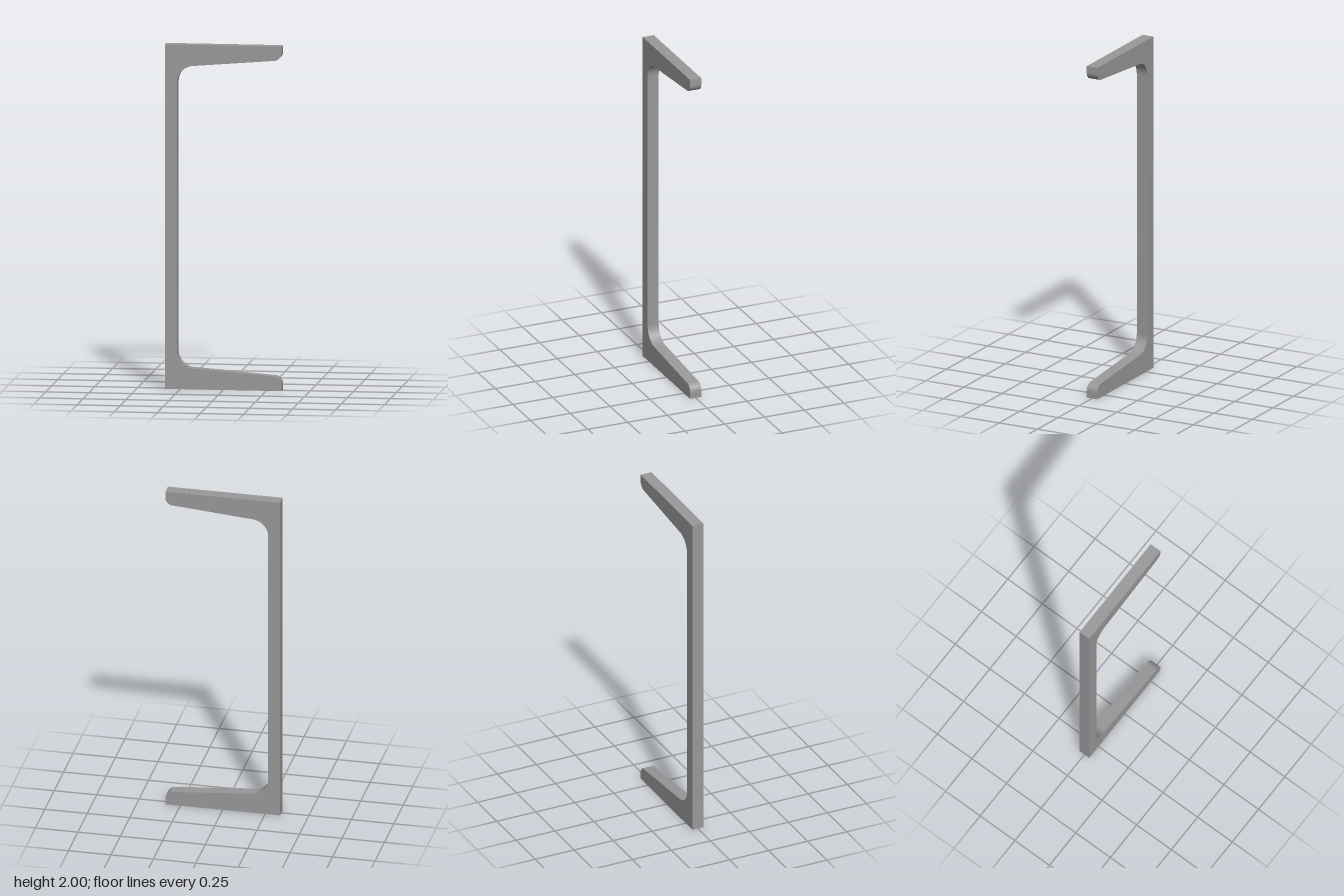
import * as THREE from 'three';
import { toCreasedNormals } from 'three/addons/utils/BufferGeometryUtils.js';

const WIDTH = 0.676, HEIGHT = 2, DEPTH = 0.07, WEB = 0.07;
const ROOT_R = 0.1, TIP_R = 0.045;
const TAPER = Math.atan(0.082); // slope of the inner flange faces

// Channel section: straight web on the left, two tapered flanges
function channelShape() {
  const left = -WIDTH / 2, right = WIDTH / 2, inner = left + WEB;
  const flangeY = (x) => 0.122 - Math.tan(TAPER) * (x + 0.18);
  const sin = Math.sin(TAPER), cos = Math.cos(TAPER);

  // Centres of the root fillet and the rounded flange tip
  const rootX = inner + ROOT_R;
  const rootY = flangeY(rootX - ROOT_R * sin) + ROOT_R * cos;
  const tipX = right - TIP_R;
  const tipY = flangeY(tipX + TIP_R * sin) - TIP_R * cos;
  const up = Math.PI / 2, down = -Math.PI / 2;

  const s = new THREE.Shape();
  s.moveTo(left, 0);
  s.lineTo(right, 0);
  s.absarc(tipX, tipY, TIP_R, 0, up - TAPER, false);
  s.absarc(rootX, rootY, ROOT_R, down - TAPER, -Math.PI, true);
  s.absarc(rootX, HEIGHT - rootY, ROOT_R, Math.PI, up + TAPER, true);
  s.absarc(tipX, HEIGHT - tipY, TIP_R, down + TAPER, 0, false);
  s.lineTo(right, HEIGHT);
  s.lineTo(left, HEIGHT);
  s.closePath();
  return s;
}

export function createModel() {
  const steel = new THREE.MeshStandardMaterial({ color: 0x999999 });
  steel.name = 'steelGrey';

  const geometry = new THREE.ExtrudeGeometry(channelShape(), {
    depth: DEPTH, bevelEnabled: false, curveSegments: 16,
  });
  geometry.translate(0, 0, -DEPTH / 2);

  const channel = new THREE.Mesh(toCreasedNormals(geometry, Math.PI / 6), steel);
  channel.name = 'channelSection';

  const model = new THREE.Group();
  model.name = 'channelBeam';
  model.add(channel);
  return model;
}
